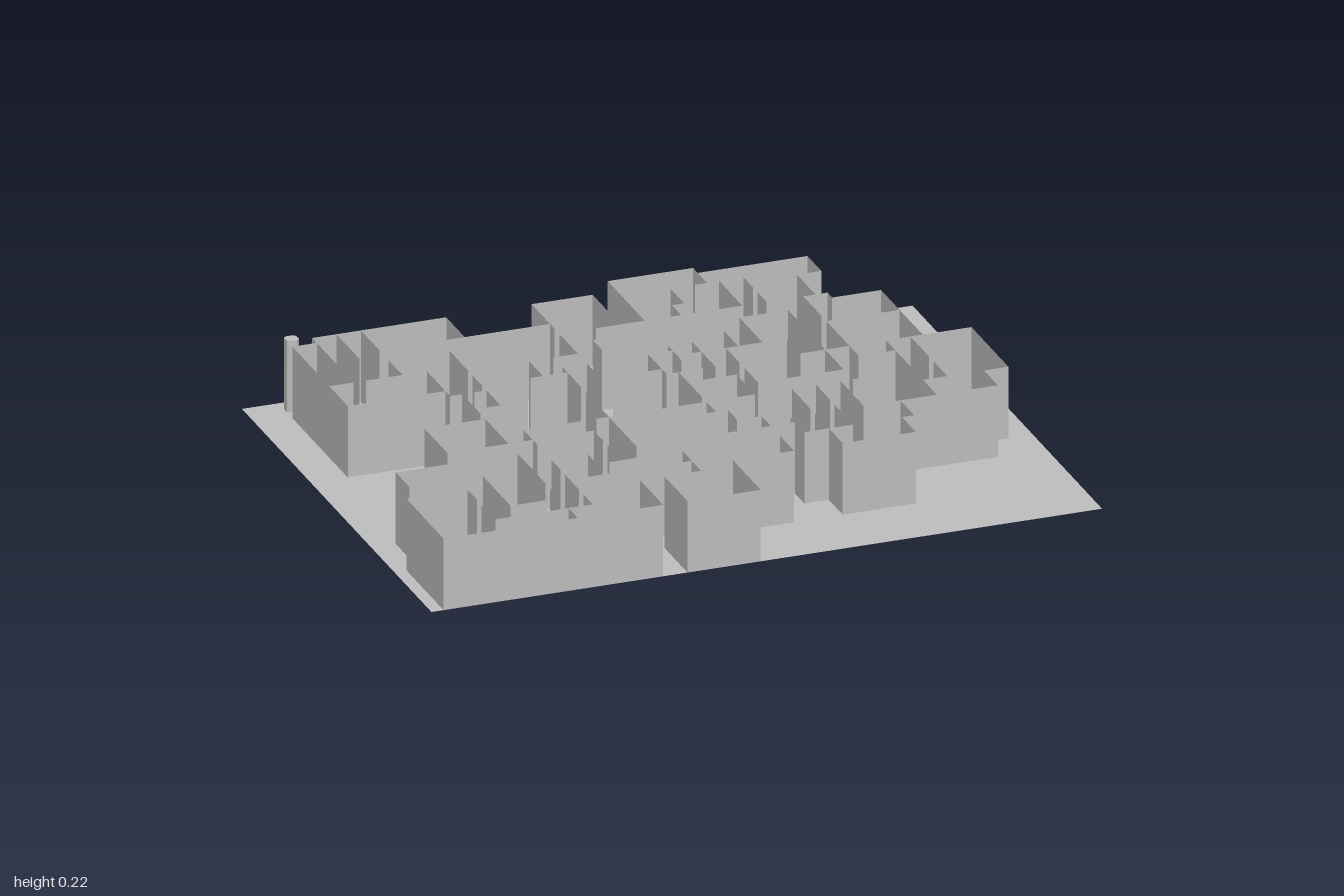
import * as THREE from 'three';
import { mergeGeometries } from 'three/addons/utils/BufferGeometryUtils.js';

const U = 2 / 55;          // plan module: the floor is 55 x 41 modules
const HEIGHT = 6 * U;      // wall height

// One upright sheet per pair of neighbouring plan corners [x, z, x, z, ...]
function wallGeometry(paths) {
  const sheets = [];
  for (const p of paths) {
    for (let i = 0; i + 3 < p.length; i += 2) {
      const dx = p[i + 2] - p[i], dz = p[i + 3] - p[i + 1];
      const g = new THREE.PlaneGeometry(Math.hypot(dx, dz) * U, HEIGHT);
      g.rotateY(-Math.atan2(dz, dx));
      g.translate((p[i] + dx / 2 - 27.5) * U, HEIGHT / 2, (p[i + 1] + dz / 2 - 20.5) * U);
      sheets.push(g);
    }
  }
  return mergeGeometries(sheets);
}

export function createModel() {
  const model = new THREE.Group();
  const grey = new THREE.MeshStandardMaterial({ color: 0xc0c0c0, side: THREE.DoubleSide });
  grey.name = 'plain grey';

  const add = (name, geometry) => {
    const mesh = new THREE.Mesh(geometry, grey);
    mesh.name = name;
    model.add(mesh);
    return mesh;
  };
  const walls = (name, ...paths) => add(name, wallGeometry(paths));

  // Ground sheet
  add('floor', new THREE.PlaneGeometry(55 * U, 41 * U).rotateX(-Math.PI / 2));

  // Small column with chamfered corners beside the back rooms
  const c = 0.2, s = new THREE.Shape();
  [[c, 0], [1 - c, 0], [1, c], [1, 1 - c], [1 - c, 1], [c, 1], [0, 1 - c], [0, c]]
    .forEach(([x, y], i) => (i ? s.lineTo(x * U, y * U) : s.moveTo(x * U, y * U)));
  const column = add('column', new THREE.ExtrudeGeometry(s, { depth: HEIGHT, bevelEnabled: false })
    .rotateX(-Math.PI / 2));
  column.position.set((3 - 27.5) * U, 0, (2 - 20.5) * U);

  // Back right rooms (gaps between paths are doorways)
  walls('backRightOuterWalls',
    [11, 15, 3, 15, 3, 3, 5, 3, 5, 2, 16, 2, 16, 5],
    [9, 2, 9, 6, 11, 6], [12, 6, 23, 6], [16, 5, 16, 6]);
  walls('backRightInnerWalls',
    [5, 3, 5, 11], [3, 11, 5, 11], [6, 11, 11, 11, 11, 16, 12, 16],
    [7, 2, 7, 7], [7, 8, 7, 11],
    [9, 11, 9, 8, 11, 8], [12, 8, 14, 8, 14, 12], [14, 13, 14, 15, 17, 15],
    [18, 15, 21, 15], [13, 16, 14, 16, 14, 19, 12, 19, 12, 16],
    [14, 17, 17, 17], [18, 17, 20, 17], [19, 15, 19, 12, 20, 12], [21, 12, 23, 12]);

  // Back middle rooms
  walls('backMiddleWalls',
    [23, 12, 23, 8], [23, 7, 23, 2, 28, 2, 28, 8],
    [23, 8, 25, 8], [26, 8, 30, 8, 30, 0, 37, 0, 37, 3],
    [30, 3, 32, 3], [33, 3, 35, 3], [36, 3, 40, 3, 40, 5], [40, 6, 40, 8],
    [34, 3, 34, 6, 33, 6, 33, 8], [32, 8, 38, 8, 38, 3],
    [25, 12, 25, 10, 31, 10], [32, 10, 35, 10], [37, 10, 41, 10]);

  // Back left rooms
  walls('backLeftOuterWalls',
    [37, 1, 46, 1, 46, 4, 44, 4, 44, 8],
    [43, 8, 45, 8, 45, 9, 49, 9, 49, 18],
    [46, 18, 53, 18, 53, 26, 51, 26, 51, 29, 46, 29, 46, 18]);
  walls('backLeftInnerWalls',
    [43, 8, 43, 12], [43, 13, 43, 20, 46, 20], [43, 13, 49, 13],
    [48, 18, 48, 22], [48, 23, 48, 26, 46, 26],
    [35, 12, 35, 15], [37, 10, 37, 15], [30, 15, 32, 15], [33, 15, 39, 15, 39, 18, 43, 18],
    [41, 10, 41, 22, 34, 22, 34, 19], [34, 15, 34, 18]);

  // Central rooms
  walls('centralWalls',
    [21, 18, 21, 14, 23, 14, 23, 17], [21, 19, 21, 24], [24, 17, 28, 17],
    [28, 18, 28, 14, 30, 14, 30, 13, 32, 13, 32, 18], [30, 14, 30, 16],
    [28, 18, 31, 18], [29, 18, 29, 23], [29, 20, 33, 20, 33, 24, 30, 24],
    [13, 24, 19, 24], [20, 24, 29, 24, 29, 26],
    [34, 24, 40, 24, 40, 29, 46, 29], [41, 24, 43, 24],
    [38, 24, 38, 27], [38, 28, 38, 32], [36, 24, 36, 28], [36, 29, 36, 32]);

  // Right middle rooms
  walls('rightMiddleWalls',
    [12, 19, 12, 20], [12, 21, 7, 21, 7, 26, 12, 26], [12, 21, 12, 26],
    [13, 26, 19, 26, 19, 28], [14, 24, 14, 27], [19, 29, 19, 32],
    [24, 26, 30, 26, 30, 28, 32, 28, 32, 30], [21, 24, 21, 30, 30, 30], [21, 26, 23, 26],
    [31, 30, 34, 30], [34, 29, 34, 32, 38, 32]);

  // Front left room
  walls('frontLeftWalls', [43, 29, 43, 32, 42, 32, 42, 35, 36, 35, 36, 32]);

  // Front middle rooms
  walls('frontMiddleWalls',
    [14, 32, 14, 30, 17, 30, 17, 32], [18, 32, 27, 32], [28, 32, 32, 32, 32, 35, 28, 35],
    [27, 35, 24, 35], [24, 32, 24, 36, 23, 36], [14, 34, 24, 34],
    [22, 36, 21, 36, 21, 41, 27, 41, 27, 35], [14, 33, 14, 36, 15, 36],
    [16, 36, 19, 36, 19, 41]);

  // Front right rooms
  walls('frontRightWalls',
    [19, 41, 1, 41, 1, 33, 6, 33, 6, 35], [6, 36, 6, 39, 14, 39, 14, 37],
    [12, 39, 12, 41], [8, 31, 2, 31, 2, 28, 12, 28, 12, 34],
    [8, 31, 8, 37, 11, 37], [12, 35, 12, 37]);

  return model;
}
